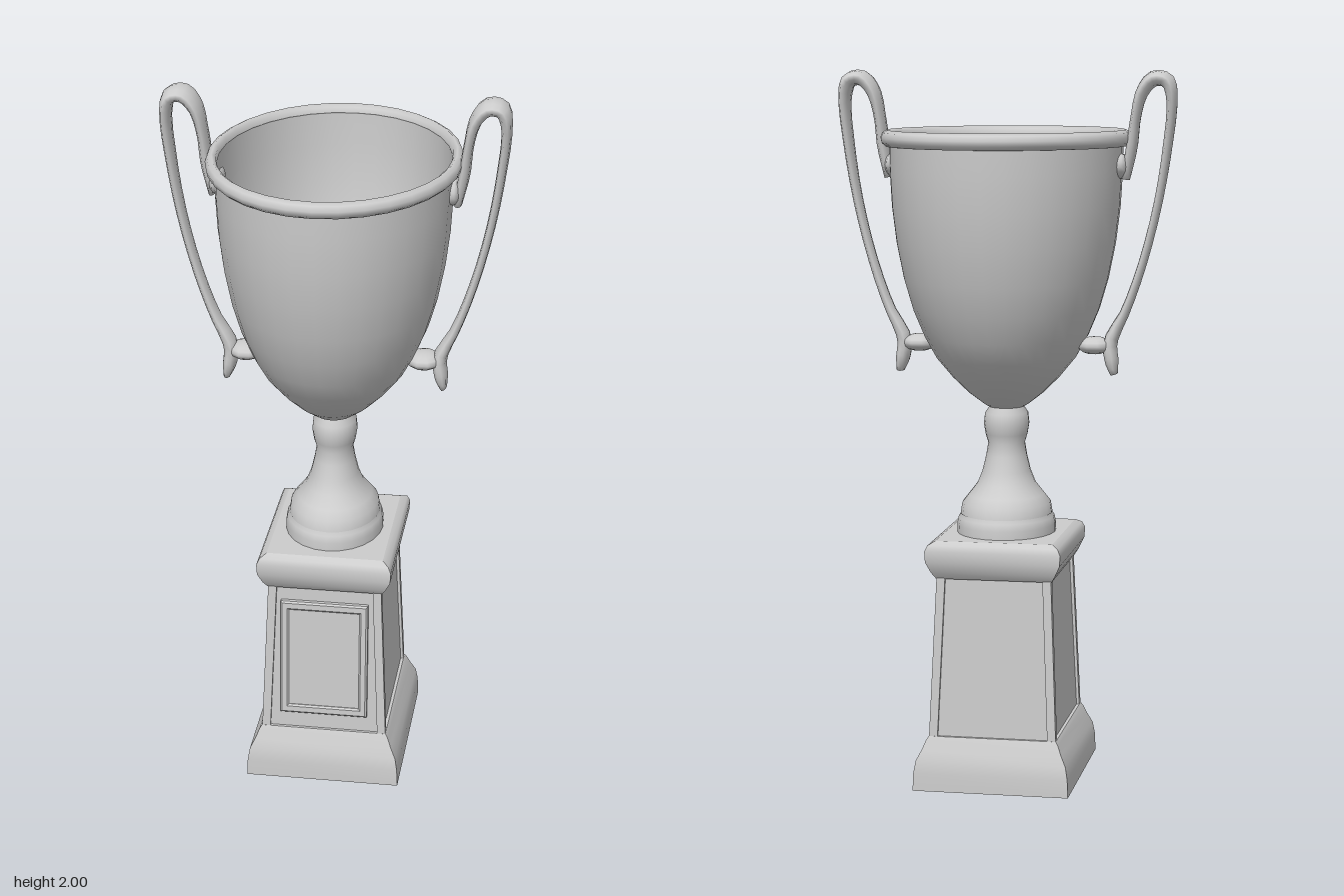
import * as THREE from 'three';

const silver = new THREE.MeshStandardMaterial({ color: 0xcccccc });
silver.name = 'silver';

function add(parent, name, geometry) {
  const mesh = new THREE.Mesh(geometry, silver);
  mesh.name = name;
  parent.add(mesh);
  return mesh;
}

function toGeometry(positions, index) {
  const g = new THREE.BufferGeometry();
  g.setAttribute('position', new THREE.Float32BufferAttribute(positions, 3));
  g.setIndex(index);
  g.computeVertexNormals();
  return g;
}

// Stack of rectangles [y, halfX, halfZ, centreX, centreZ]: sharp corners, smooth mouldings
function rectLoft(sections) {
  const pos = [], idx = [];
  const corners = [[-1, 1], [1, 1], [1, -1], [-1, -1]];
  const put = ([y, hx, hz, cx = 0, cz = 0], k) => {
    const [sx, sz] = corners[k % 4];
    pos.push(cx + sx * hx, y, cz + sz * hz);
  };
  for (let k = 0; k < 4; k++) {
    const start = pos.length / 3;
    sections.forEach((s) => { put(s, k); put(s, k + 1); });
    for (let i = 0; i < sections.length - 1; i++) {
      const a = start + i * 2;
      idx.push(a, a + 1, a + 2, a + 1, a + 3, a + 2);
    }
  }
  const b = pos.length / 3;
  for (const s of [sections[0], sections[sections.length - 1]]) {
    for (let k = 0; k < 4; k++) put(s, k);
  }
  idx.push(b, b + 2, b + 1, b, b + 3, b + 2, b + 4, b + 5, b + 6, b + 4, b + 6, b + 7);
  return toGeometry(pos, idx);
}

function lathe(points, segments = 24) {
  return new THREE.LatheGeometry(points.map(([r, y]) => new THREE.Vector2(r, y)), segments);
}

// Oval strap swept along [x, y, halfThickness, halfWidth]
function strap(stations, sides = 10, steps = 36) {
  const path = new THREE.CatmullRomCurve3(stations.map(([x, y]) => new THREE.Vector3(x, y, 0)));
  const size = new THREE.CatmullRomCurve3(stations.map(([, , t, w]) => new THREE.Vector3(t, w, 0)));
  const pos = [], idx = [];
  for (let i = 0; i <= steps; i++) {
    const p = path.getPoint(i / steps), t = path.getTangent(i / steps), s = size.getPoint(i / steps);
    for (let j = 0; j < sides; j++) {
      const a = (j / sides) * Math.PI * 2;
      const c = Math.cos(a) * s.x;
      pos.push(p.x - t.y * c, p.y + t.x * c, Math.sin(a) * s.y);
      if (i < steps) {
        const q = i * sides + j, r = i * sides + ((j + 1) % sides);
        idx.push(q, r, q + sides, r, r + sides, q + sides);
      }
    }
  }
  for (let j = 1; j < sides - 1; j++) {
    const e = steps * sides;
    idx.push(0, j + 1, j, e, e + j, e + j + 1);
  }
  return toGeometry(pos, idx);
}

function frameShape(hx, hy) {
  return [[-hx, -hy], [hx, -hy], [hx, hy], [-hx, hy]].map(([x, y]) => new THREE.Vector2(x, y));
}

function buildPlinth() {
  const g = new THREE.Group();
  g.name = 'plinth';
  add(g, 'plinthFoot', rectLoft([
    [0, 0.22, 0.265], [0.05, 0.218, 0.264], [0.085, 0.212, 0.258],
    [0.115, 0.197, 0.245], [0.14, 0.187, 0.235], [0.15, 0.18, 0.23]]));
  add(g, 'plinthBody', rectLoft([[0.14, 0.172, 0.222], [0.61, 0.152, 0.197]]));
  add(g, 'plinthCap', rectLoft([
    [0.595, 0.163, 0.205], [0.615, 0.175, 0.22], [0.645, 0.189, 0.231],
    [0.675, 0.191, 0.231], [0.692, 0.183, 0.225], [0.702, 0.165, 0.205]]));
  // Raised corner strips leave a shallow panel on each side
  for (const sx of [-1, 1]) for (const sz of [-1, 1]) {
    add(g, 'cornerStrip', rectLoft([
      [0.14, 0.012, 0.012, sx * 0.168, sz * 0.218],
      [0.61, 0.012, 0.012, sx * 0.149, sz * 0.194]]));
  }
  // Blank plaque in a bevelled frame, leaning with the front face
  const plaque = new THREE.Group();
  plaque.name = 'plaque';
  plaque.position.set(0, 0.378, 0.21);
  plaque.rotation.x = -0.055;
  const rim = new THREE.Shape(frameShape(0.12, 0.172));
  rim.holes.push(new THREE.Path(frameShape(0.106, 0.156)));
  add(plaque, 'plaqueFrame', new THREE.ExtrudeGeometry(rim, {
    depth: 0.012, bevelThickness: 0.005, bevelSize: 0.005, bevelSegments: 1 }));
  add(plaque, 'plaquePanel', new THREE.BoxGeometry(0.22, 0.32, 0.02));
  g.add(plaque);
  return g;
}

function buildCup() {
  const g = new THREE.Group();
  g.name = 'ovalCup';
  g.scale.x = 0.82; // the cup and stem are oval, wider front to back
  add(g, 'stemFoot', lathe([
    [0.17, 0.695], [0.17, 0.725], [0.165, 0.745], [0.155, 0.755], [0.155, 0.77]]));
  add(g, 'stem', lathe([
    [0.158, 0.755], [0.152, 0.785], [0.13, 0.808], [0.1, 0.84], [0.083, 0.875],
    [0.07, 0.92], [0.063, 0.955], [0.072, 0.98], [0.078, 1.01], [0.074, 1.04],
    [0.058, 1.06], [0.055, 1.08]]));
  add(g, 'bowlOutside', lathe([
    [0.03, 1.045], [0.075, 1.065], [0.13, 1.1], [0.185, 1.145], [0.24, 1.2],
    [0.28, 1.26], [0.318, 1.335], [0.348, 1.42], [0.372, 1.52], [0.387, 1.62],
    [0.394, 1.72], [0.395, 1.81]], 32));
  add(g, 'bowlInside', lathe([
    [0.387, 1.815], [0.384, 1.72], [0.376, 1.62], [0.36, 1.52], [0.336, 1.42],
    [0.304, 1.335], [0.266, 1.26], [0.222, 1.2], [0.165, 1.15], [0.1, 1.105], [0, 1.08]], 32));
  add(g, 'rim', lathe([
    [0.386, 1.812], [0.392, 1.796], [0.408, 1.79], [0.421, 1.8], [0.425, 1.814],
    [0.418, 1.828], [0.403, 1.835], [0.39, 1.827], [0.386, 1.812]], 32));
  return g;
}

function buildHandle() {
  const g = new THREE.Group();
  g.name = 'handle';
  add(g, 'handleStrap', strap([
    [0.306, 1.155, 0.01, 0.03], [0.298, 1.195, 0.02, 0.04], [0.295, 1.245, 0.02, 0.036],
    [0.338, 1.335, 0.013, 0.03], [0.385, 1.47, 0.012, 0.03], [0.425, 1.63, 0.012, 0.034],
    [0.451, 1.79, 0.013, 0.041], [0.462, 1.92, 0.015, 0.049], [0.449, 1.97, 0.021, 0.052],
    [0.412, 1.976, 0.022, 0.052], [0.38, 1.94, 0.018, 0.05], [0.362, 1.87, 0.014, 0.046],
    [0.352, 1.79, 0.016, 0.044], [0.335, 1.7, 0.012, 0.036]]));
  // Lugs that tie the strap to the bowl
  const upper = add(g, 'upperLug', new THREE.SphereGeometry(1, 10, 8));
  upper.scale.set(0.02, 0.035, 0.065);
  upper.position.set(0.324, 1.735, 0);
  const lower = add(g, 'lowerLug', new THREE.SphereGeometry(1, 10, 8));
  lower.scale.set(0.05, 0.025, 0.055);
  lower.position.set(0.25, 1.235, 0);
  return g;
}

export function createModel() {
  const model = new THREE.Group();
  model.name = 'trophyCup';
  model.add(buildPlinth(), buildCup());
  const left = buildHandle(), right = buildHandle();
  left.name = 'leftHandle';
  right.name = 'rightHandle';
  right.rotation.y = Math.PI;
  model.add(left, right);
  return model;
}
